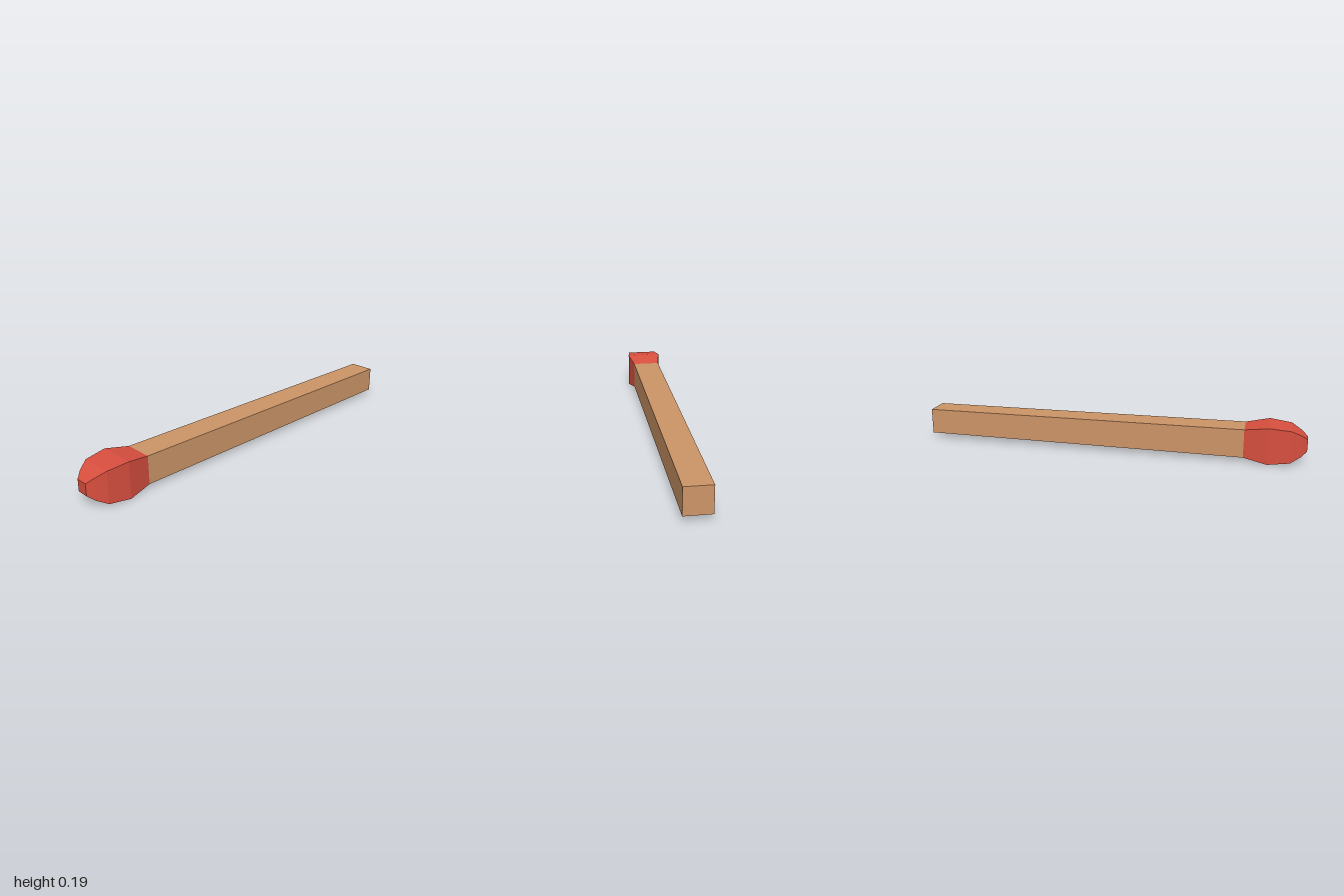
import * as THREE from 'three';

const CENTRE_Y = 0.094;

// Square-section loft along z; each section is [z, half width]
function squareLoft(name, sections, material) {
  const points = sections.map(([z, half]) => new THREE.Vector2(half * Math.SQRT2, z));
  const geometry = new THREE.LatheGeometry(points, 4, Math.PI / 4);
  geometry.rotateX(Math.PI / 2); // lathe axis y becomes z
  const mesh = new THREE.Mesh(geometry, material);
  mesh.name = name;
  mesh.position.y = CENTRE_Y;
  return mesh;
}

export function createModel() {
  const wood = new THREE.MeshStandardMaterial({ color: 0xcd9567, flatShading: true });
  wood.name = 'wood';
  const red = new THREE.MeshStandardMaterial({ color: 0xd94f3f, flatShading: true });
  red.name = 'red';

  const model = new THREE.Group();
  model.name = 'matchstick';

  // Slightly tapered stick, closed at the back
  model.add(squareLoft('stick', [[-1, 0], [-1, 0.066], [0.69, 0.073]], wood));

  // Bulging head with a blunt tip
  model.add(squareLoft('head', [
    [0.69, 0.073], [0.81, 0.094], [0.92, 0.082], [0.97, 0.055], [1, 0.031], [1, 0],
  ], red));

  return model;
}
